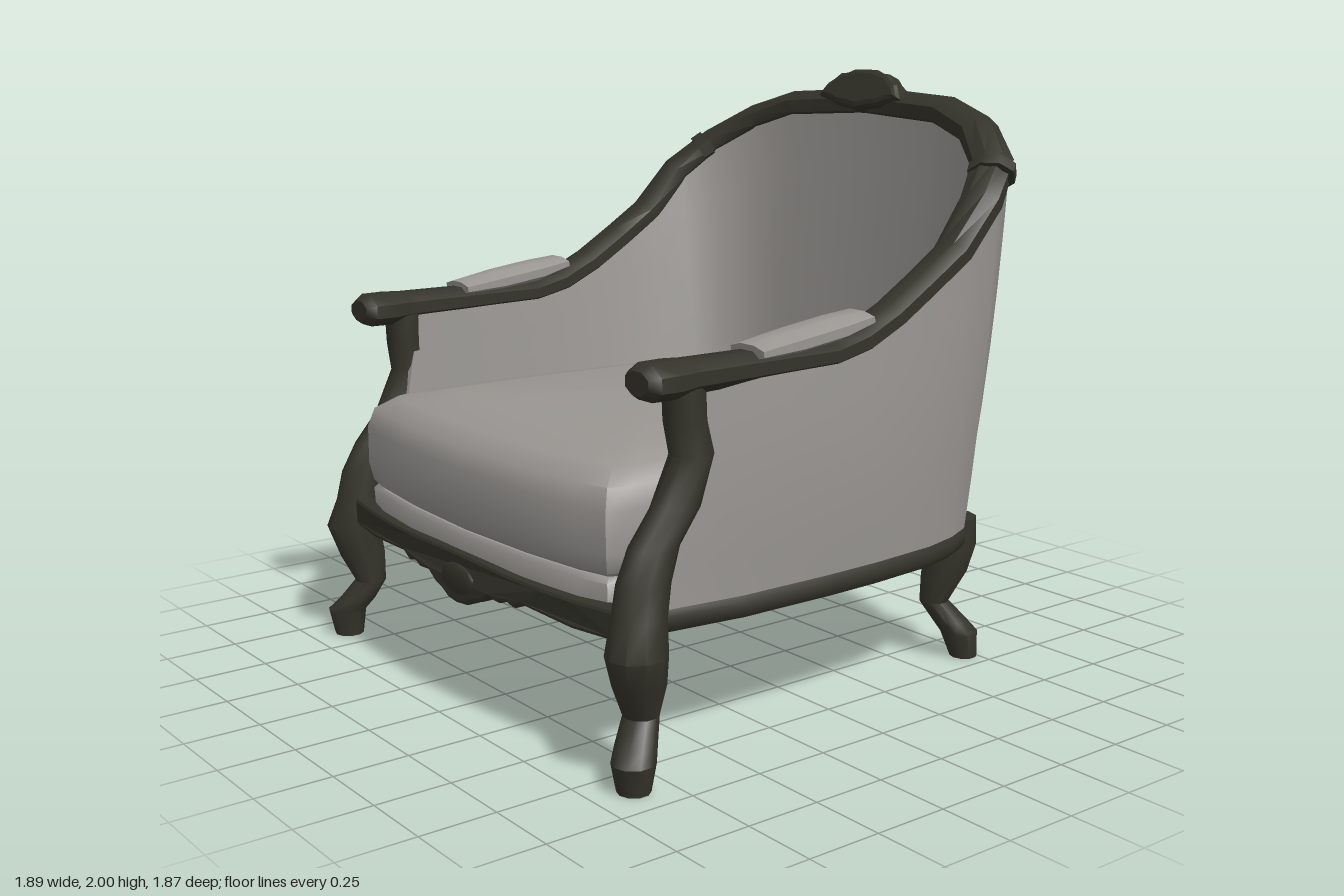
import * as THREE from 'three';
import { toCreasedNormals } from 'three/addons/utils/BufferGeometryUtils.js';

const wood = new THREE.MeshStandardMaterial({ color: 0x34332a });
wood.name = 'dark wood';
const cloth = new THREE.MeshStandardMaterial({ color: 0x999692 });
cloth.name = 'grey upholstery';

const V = (x, y, z) => new THREE.Vector3(x, y, z);

// Skin over rows of points; closed joins the last column to the first
function skin(rows, closed, crease = 0.8) {
  const n = rows[0].length, index = [];
  for (let i = 0; i < rows.length - 1; i++) {
    for (let j = 0; j < (closed ? n : n - 1); j++) {
      const k = (j + 1) % n, a = i * n + j, b = i * n + k, c = b + n, d = a + n;
      index.push(a, b, c, a, c, d);
    }
  }
  const geo = new THREE.BufferGeometry().setFromPoints(rows.flat());
  geo.setIndex(index);
  return toCreasedNormals(geo, crease);
}

// Outward side direction and normal at each point of a path
function frames(pts) {
  return pts.map((p, i) => {
    const t = pts[Math.min(i + 1, pts.length - 1)].clone().sub(pts[Math.max(i - 1, 0)]).normalize();
    const side = t.clone().cross(V(0, 1, 0)).normalize();
    return { side, up: side.clone().cross(t) };
  });
}

// Octagonal bar along [x, y, z, halfWidth, halfHeight] stations, with end caps
function bar(stations) {
  const pts = stations.map(s => V(s[0], s[1], s[2]));
  const rows = frames(pts).map((f, i) => Array.from({ length: 8 }, (_, j) => {
    const a = -(j + 0.5) * Math.PI / 4;
    return pts[i].clone()
      .addScaledVector(f.side, Math.cos(a) * stations[i][3] * 1.08)
      .addScaledVector(f.up, Math.sin(a) * stations[i][4] * 1.08);
  }));
  rows.unshift(Array(8).fill(pts[0]));
  rows.push(Array(8).fill(pts[pts.length - 1]));
  return skin(rows, true);
}

// Upright post from [y, x, z, halfWidth, halfDepth] rows, top first
function post(table, s) {
  const rows = table.map(([y, x, z, rx, rz]) => Array.from({ length: 10 }, (_, j) => {
    const a = (j + 0.5) * Math.PI / 5;
    return V(s * x + 1.05 * rx * Math.cos(a), y, z + 1.05 * rz * Math.sin(a));
  }));
  const end = ([y, x, z]) => Array(10).fill(V(s * x, y, z));
  return skin([end(table[0]), ...rows, end(table[table.length - 1])], true);
}

// Repeat a half path on the other side, sharing the centre point
const bothSides = half => [...half, ...half.slice(0, -1).reverse().map(p => [-p[0], ...p.slice(1)])];

// Half plan of the body: rail x y z, outer base x z, inner base x z, rail half height
const body = [
  [0.82, 1.18, 0.6, 0.82, 0.78, 0.73, 0.74, 0.05], [0.82, 1.182, 0.4, 0.86, 0.45, 0.72, 0.4, 0.047],
  [0.82, 1.185, 0.1, 0.865, 0.1, 0.7, 0.1, 0.042], [0.82, 1.215, -0.03, 0.86, -0.1, 0.685, -0.05, 0.045],
  [0.82, 1.275, -0.16, 0.85, -0.22, 0.67, -0.18, 0.045], [0.82, 1.36, -0.3, 0.84, -0.35, 0.64, -0.3, 0.045],
  [0.82, 1.45, -0.44, 0.805, -0.49, 0.61, -0.42, 0.045], [0.805, 1.6, -0.58, 0.755, -0.6, 0.58, -0.54, 0.05],
  [0.73, 1.71, -0.71, 0.66, -0.695, 0.51, -0.6, 0.055], [0.57, 1.805, -0.81, 0.5, -0.785, 0.43, -0.65, 0.056],
  [0.38, 1.86, -0.85, 0.3, -0.84, 0.33, -0.67, 0.056], [0, 1.88, -0.87, 0, -0.865, 0, -0.68, 0.056],
];

// Upholstered body: inner wall up, over the top, outer wall down
function shell() {
  const tops = bothSides(body.map(b => b.slice(0, 3))).map(p => V(...p));
  const outer = bothSides(body.map(b => [b[3], 0.5, b[4]])).map(p => V(...p));
  const inner = bothSides(body.map(b => [b[5], 0.5, b[6]])).map(p => V(...p));
  const K = 6;
  const cols = frames(tops).map((f, i) => {
    const col = [];
    const atFront = i === 0 || i === tops.length - 1;
    const it = tops[i].clone().addScaledVector(f.side, -0.055);
    const ot = tops[i].clone().addScaledVector(f.side, atFront ? 0.01 : 0.055);
    for (let k = 0; k <= K; k++) col.push(inner[i].clone().lerp(it, k / K));
    for (let k = K; k >= 0; k--) {
      col.push(outer[i].clone().lerp(ot, k / K)
        .addScaledVector(f.side, atFront ? 0 : 0.015 * Math.sin(Math.PI * k / K)));
    }
    return col;
  });
  // front edges of both arms
  const edge = col => col.map((p, j) => (j > K ? col[col.length - 1 - j] : p));
  return skin([edge(cols[0]), ...cols, edge(cols[cols.length - 1])], false, 0.9);
}

// Seat plan, front centre round to back centre
const seatPlan = [[0, 0.92], [0.35, 0.905], [0.6, 0.875], [0.715, 0.845], [0.74, 0.77], [0.745, 0.4], [0.73, 0.1],
  [0.71, -0.2], [0.63, -0.52], [0.53, -0.63], [0.36, -0.69], [0, -0.7]];
const seatLoop = [...seatPlan, ...seatPlan.slice(1, -1).reverse().map(([x, z]) => [-x, z])];

// Seat layers from [y, scale] levels, bottom first
const seatGeo = levels =>
  skin(levels.map(([y, k]) => seatLoop.map(([x, z]) => V(x * k, y, 0.1 + (z - 0.1) * k))), true);

// Flat carved piece from half an outline, mirrored
function carving(half, depth, bevel) {
  const pts = [...half, ...half.slice(1, -1).reverse().map(([x, y]) => [-x, y])];
  const shape = new THREE.Shape(pts.map(p => new THREE.Vector2(...p)));
  const geo = new THREE.ExtrudeGeometry(shape,
    { depth, bevelEnabled: true, bevelSize: bevel, bevelThickness: bevel, bevelSegments: 2 });
  return geo.translate(0, 0, -depth / 2);
}

export function createModel() {
  const chair = new THREE.Group();
  chair.name = 'armchair';
  const add = (name, geo, mat) => {
    const m = new THREE.Mesh(geo, mat);
    m.name = name;
    chair.add(m);
    return m;
  };

  // Upholstery
  add('upholsteredBody', shell(), cloth);
  add('seatDeck', seatGeo([[0.49, 0], [0.49, 0.98], [0.57, 0.985], [0.585, 0.97], [0.6, 0]]), cloth);
  add('seatCushion', seatGeo([[0.58, 0], [0.58, 0.95], [0.6, 0.985], [0.66, 1], [0.79, 1], [0.855, 0.975],
    [0.9, 0.89], [0.925, 0.7], [0.94, 0]]), cloth);

  // Continuous arm and back rail with scrolled arm ends
  const rail = [[0.82, 1.178, 0.81, 0.055, 0.035], [0.82, 1.178, 0.78, 0.08, 0.054],
    [0.82, 1.178, 0.7, 0.08, 0.055], [0.82, 1.18, 0.64, 0.068, 0.05],
    ...body.map(b => [b[0], b[1], b[2], 0.067, b[7]])];
  add('armAndBackRail', bar(bothSides(rail)), wood);

  // Base rail round the sides and back
  add('baseRail', bar(bothSides(body.map(b => [b[3] * 0.975, 0.465, b[4] * 0.975, 0.028, 0.037]))), wood);

  // Front apron with a scalloped lower edge, bowed forward
  const apron = carving([[0, 0.51], [0.15, 0.507], [0.3, 0.502], [0.45, 0.5], [0.6, 0.5], [0.78, 0.505],
    [0.78, 0.435], [0.6, 0.43], [0.45, 0.44], [0.36, 0.445], [0.32, 0.425], [0.28, 0.435], [0.24, 0.42],
    [0.18, 0.425], [0.13, 0.395], [0.09, 0.385], [0.05, 0.365], [0, 0.36]], 0.04, 0.012);
  const pos = apron.attributes.position;
  for (let i = 0; i < pos.count; i++) {
    const x = pos.getX(i) / 0.78;
    pos.setZ(i, pos.getZ(i) + 0.835 + 0.06 * (1 - x * x));
  }
  apron.computeVertexNormals();
  add('frontApron', apron, wood);

  // Low carved boss on the apron
  const apronBoss = add('apronCarving', new THREE.SphereGeometry(0.06, 12, 8), wood);
  apronBoss.scale.set(1.7, 0.9, 0.25);
  apronBoss.position.set(0, 0.425, 0.918);

  // Crest on the back rail
  const crest = add('crest', carving([[0, 0.052], [0.05, 0.05], [0.08, 0.038], [0.11, 0.036], [0.135, 0.015],
    [0.16, 0], [0.18, -0.025], [0.14, -0.03], [0.1, -0.045], [0.05, -0.05], [0, -0.06]], 0.05, 0.02), wood);
  crest.position.set(0, 1.927, -0.83);
  crest.rotation.x = -0.4;

  const frontPost = [[1.16, 0.815, 0.64, 0.06, 0.062], [1.05, 0.815, 0.635, 0.06, 0.062],
    [0.95, 0.82, 0.615, 0.058, 0.066], [0.8, 0.82, 0.675, 0.058, 0.078], [0.7, 0.825, 0.755, 0.06, 0.078],
    [0.6, 0.835, 0.8, 0.066, 0.082], [0.5, 0.84, 0.82, 0.072, 0.082], [0.4, 0.857, 0.842, 0.086, 0.09],
    [0.3, 0.84, 0.82, 0.07, 0.08], [0.2, 0.82, 0.8, 0.052, 0.052], [0.13, 0.85, 0.84, 0.06, 0.06],
    [0.09, 0.876, 0.868, 0.063, 0.064], [0, 0.872, 0.865, 0.05, 0.048]];
  const backLeg = [[0.5, 0.62, -0.68, 0.08, 0.082], [0.4, 0.62, -0.685, 0.082, 0.08],
    [0.3, 0.61, -0.66, 0.07, 0.08], [0.2, 0.595, -0.63, 0.046, 0.05], [0.13, 0.63, -0.675, 0.056, 0.058],
    [0.09, 0.65, -0.7, 0.06, 0.062], [0, 0.66, -0.715, 0.045, 0.045]];

  for (const [side, s] of [['left', 1], ['right', -1]]) {
    // Cabriole legs; the front ones rise to carry the arms
    add(side + 'FrontPostAndLeg', post(frontPost, s), wood);
    add(side + 'BackLeg', post(backLeg, s), wood);
    // Arched arm pad and the thin collar where arm meets back
    add(side + 'ArmPad', bar([[0.822, 1.225, 0.41, 0.076, 0.022], [0.822, 1.24, 0.25, 0.077, 0.036],
      [0.822, 1.262, 0.08, 0.077, 0.036], [0.822, 1.285, -0.03, 0.076, 0.022]]
      .map(p => [s * p[0], ...p.slice(1)])), cloth);
    add(side + 'RailCollar', bar([[0.765, 1.675, -0.665, 0.076, 0.058], [0.745, 1.7, -0.695, 0.076, 0.058]]
      .map(p => [s * p[0], ...p.slice(1)])), wood);
  }
  return chair;
}
